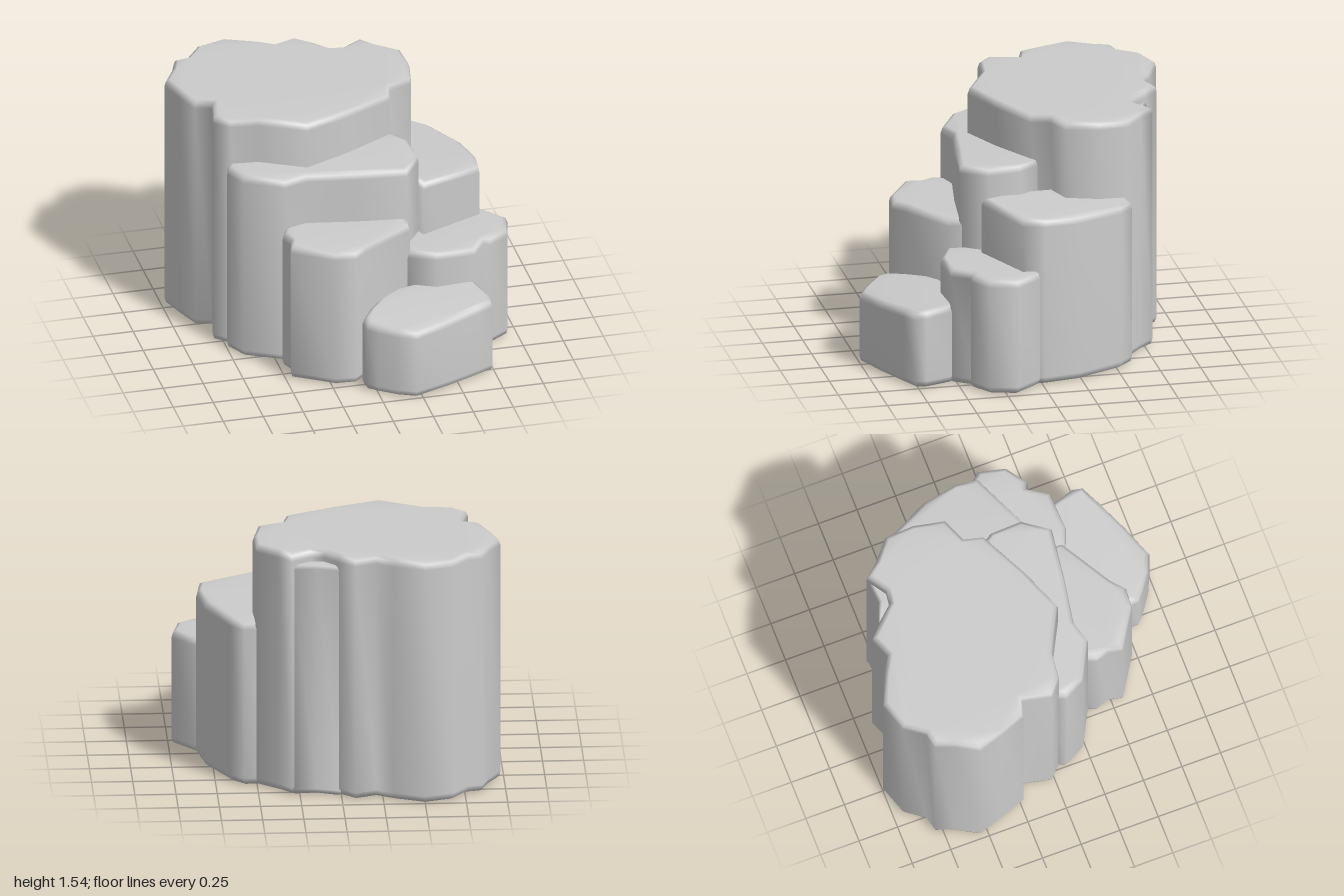
import * as THREE from 'three';
import { mergeVertices } from 'three/addons/utils/BufferGeometryUtils.js';

const stone = new THREE.MeshStandardMaterial({ color: 0xcccccc });

// Upright stone column: [x, z] outline, bevelled rims, top tilted by tiltX / tiltZ
function column(name, outline, height, { bevel = 0.045, tiltX = 0, tiltZ = 0 } = {}) {
  const shape = new THREE.Shape(outline.map(([x, z]) => new THREE.Vector2(x, -z)));
  let geo = new THREE.ExtrudeGeometry(shape, {
    depth: height - 2 * bevel, bevelThickness: bevel,
    bevelSize: bevel * 0.7, bevelOffset: -bevel * 0.7, bevelSegments: 2,
  });
  geo.translate(0, 0, bevel).rotateX(-Math.PI / 2);

  const box = new THREE.Box2().setFromPoints(outline.map(([x, z]) => new THREE.Vector2(x, z)));
  const mid = box.getCenter(new THREE.Vector2());
  const p = geo.attributes.position;
  for (let i = 0; i < p.count; i++) {
    if (p.getY(i) < height / 2) continue;
    p.setY(i, p.getY(i) + tiltX * (p.getX(i) - mid.x) + tiltZ * (p.getZ(i) - mid.y));
  }

  // Shared vertices give soft, weathered shading
  geo.deleteAttribute('normal');
  geo.deleteAttribute('uv');
  geo = mergeVertices(geo, 1e-4);
  geo.computeVertexNormals();
  const mesh = new THREE.Mesh(geo, stone);
  mesh.name = name;
  return mesh;
}

export function createModel() {
  const rock = new THREE.Group();
  rock.name = 'steppedRock';

  // Tall main column with its fluted back
  rock.add(column('mainColumn', [
    [-0.5, -1], [-0.31, -0.92], [-0.21, -0.86], [-0.08, -0.91], [0.02, -0.82], [0.1, -0.73],
    [0.18, -0.72], [0.3, -0.8], [0.38, -0.71], [0.51, -0.6], [0.52, -0.42], [0.48, -0.22],
    [0.33, -0.16], [0.3, -0.04], [0, 0.11], [-0.28, 0.22], [-0.55, 0.08], [-0.72, 0.06],
    [-0.81, -0.02], [-0.77, -0.2], [-0.87, -0.23], [-0.93, -0.39], [-0.98, -0.55],
    [-0.9, -0.69], [-0.86, -0.8], [-0.77, -0.82], [-0.68, -0.94],
  ], 1.54));

  // Low shoulder filling the groove at the back
  rock.add(column('backShoulder', [
    [0, -0.83], [0.15, -0.78], [0.3, -0.79], [0.25, -0.6], [0.08, -0.6],
  ], 1.47, { bevel: 0.03 }));

  // Upper front step
  rock.add(column('upperFrontStep', [
    [-0.72, 0], [-0.75, 0.1], [-0.68, 0.23], [-0.45, 0.35], [-0.31, 0.31], [-0.02, 0.36],
    [0.3, 0.4], [0.41, 0.24], [0.4, 0.04], [0.3, -0.1], [0, -0.1], [-0.4, -0.1],
  ], 1.25, { tiltX: 0.015, tiltZ: -0.04 }));

  // Right-hand back step
  rock.add(column('highSideStep', [
    [0.4, -0.6], [0.58, -0.61], [0.66, -0.53], [0.8, -0.24], [0.84, -0.02], [0.82, 0.12],
    [0.43, 0.29], [0.33, 0.06], [0.3, -0.2],
  ], 1.06, { tiltX: -0.03, tiltZ: 0.04 }));

  // Middle front step
  rock.add(column('middleFrontStep', [
    [-0.4, 0.2], [-0.48, 0.4], [-0.45, 0.48], [-0.47, 0.57], [-0.23, 0.72], [-0.1, 0.73],
    [-0.02, 0.66], [0.3, 0.47], [0.32, 0.3], [0, 0.2],
  ], 0.91, { tiltZ: -0.03 }));

  // Lower side step
  rock.add(column('lowSideStep', [
    [0.72, -0.02], [0.85, 0.02], [0.98, 0.18], [0.94, 0.35], [0.81, 0.44], [0.77, 0.42],
    [0.69, 0.54], [0.45, 0.55], [0.28, 0.48], [0.3, 0.2],
  ], 0.73));

  // Lowest step at the very front
  rock.add(column('lowestFrontStep', [
    [0, 0.66], [-0.07, 0.76], [-0.06, 0.83], [0, 0.88], [0.1, 0.95], [0.21, 1], [0.42, 0.92],
    [0.64, 0.82], [0.74, 0.77], [0.75, 0.7], [0.69, 0.52], [0.4, 0.45], [0.15, 0.5],
  ], 0.48, { tiltX: 0.02, tiltZ: -0.11 }));

  return rock;
}
